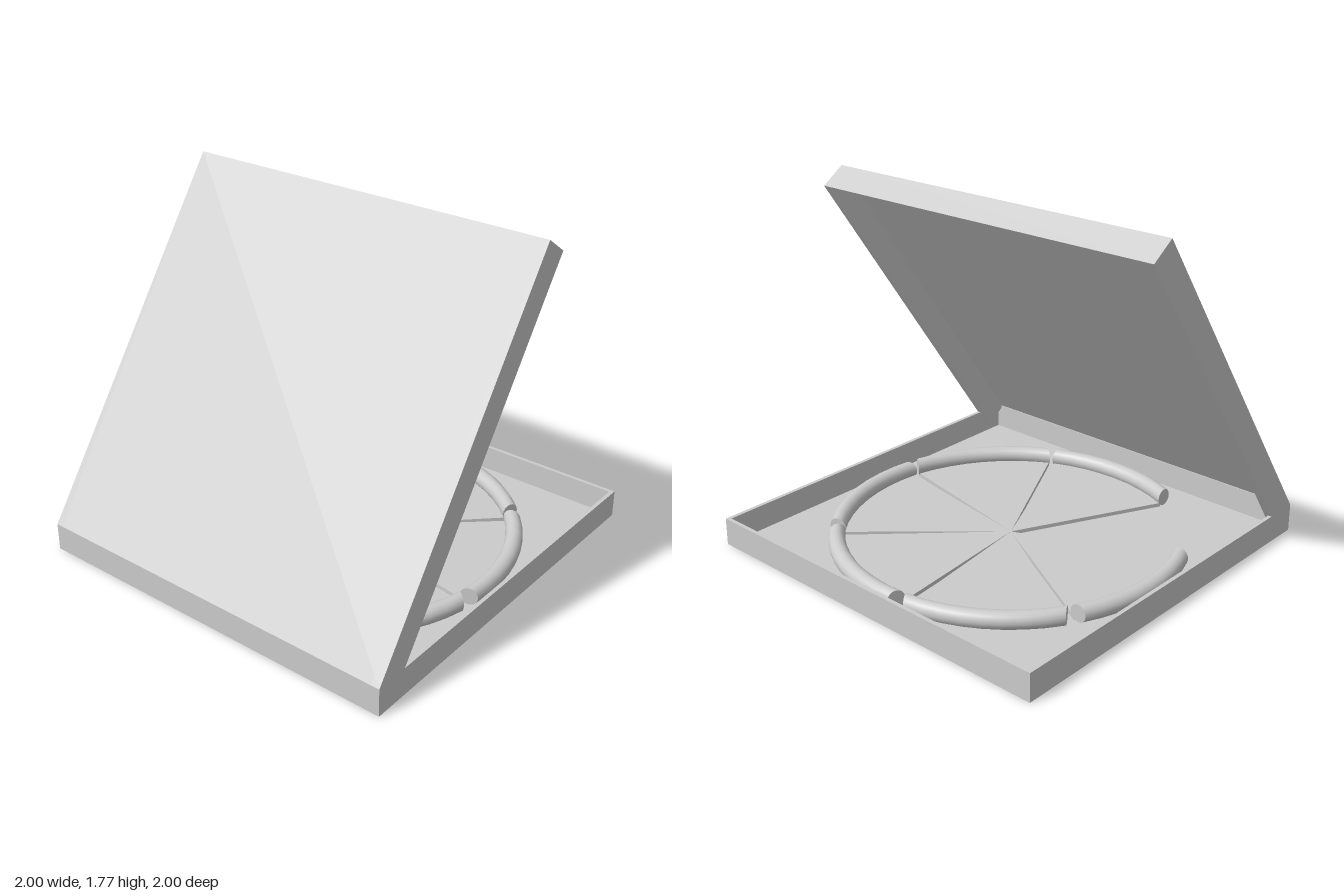
import * as THREE from 'three';
import { ParametricGeometry } from 'three/addons/geometries/ParametricGeometry.js';

const WALL = 0.02, HEIGHT = 0.142, FLOOR = 0.01;
const material = new THREE.MeshStandardMaterial({ color: 0xcccccc });
const rad = THREE.MathUtils.degToRad;

function part(parent, name, geometry) {
  const mesh = new THREE.Mesh(geometry, material);
  mesh.name = name;
  parent.add(mesh);
  return mesh;
}

function box(parent, name, size, position) {
  part(parent, name, new THREE.BoxGeometry(...size)).position.set(...position);
}

// Shallow square tray
function createBase() {
  const base = new THREE.Group();
  base.name = 'baseTray';
  box(base, 'baseFloor', [2, FLOOR, 2], [0, FLOOR / 2, 0]);
  for (const s of [-1, 1]) {
    box(base, 'baseEndWall', [WALL, HEIGHT, 2], [s * (1 - WALL / 2), HEIGHT / 2, 0]);
    box(base, 'baseSideWall', [2 - 2 * WALL, HEIGHT, WALL], [0, HEIGHT / 2, s * (1 - WALL / 2)]);
  }
  return base;
}

// Hinged lid: a panel with a U-shaped wall whose sides thicken towards the hinge
function createLid() {
  const lid = new THREE.Group();
  lid.name = 'lid';
  const length = 1.99, front = length - 0.015;
  box(lid, 'lidPanel', [length, 0.012, 2], [length / 2, -0.006, 0]);
  const rim = new THREE.Shape([
    [0, -1], [length, -1], [length, 1], [0, 1],
    [0, 0.955], [front, 0.985], [front, -0.985], [0, -0.955],
  ].map(([x, y]) => new THREE.Vector2(x, y)));
  const walls = new THREE.ExtrudeGeometry(rim, { depth: 0.145, bevelEnabled: false });
  part(lid, 'lidWalls', walls.rotateX(Math.PI / 2));
  lid.position.set(-1, HEIGHT, 0);
  lid.rotation.z = rad(55);
  return lid;
}

// One wedge pointing along +x, with a round crust whose ends are cut parallel to its midline
function createSlice() {
  const slice = new THREE.Group();
  slice.name = 'slice';
  const half = rad(25.7), crustHalf = rad(25), R = 0.87, r = 0.045, cy = FLOOR + r;

  const outline = new THREE.Shape();
  outline.moveTo(0, 0);
  for (let i = 0; i <= 8; i++) {
    const a = half * (i / 4 - 1);
    outline.lineTo(0.845 * Math.cos(a), 0.845 * Math.sin(a));
  }
  outline.closePath();
  const topping = new THREE.ExtrudeGeometry(outline, { depth: 0.022, bevelEnabled: false });
  part(slice, 'sliceTopping', topping.rotateX(-Math.PI / 2)).position.y = FLOOR - 0.002;

  const sweep = (u, v, target) => {
    const a = crustHalf * (2 * u - 1), b = -2 * Math.PI * v;
    target.set(R * Math.cos(a) + r * Math.cos(b), cy + r * Math.sin(b), R * Math.sin(a));
  };
  part(slice, 'crust', new ParametricGeometry(sweep, 8, 16));
  for (const s of [-1, 1]) {
    const cap = part(slice, 'crustEnd', new THREE.CircleGeometry(r, 16));
    cap.position.set(R * Math.cos(crustHalf), cy, s * R * Math.sin(crustHalf));
    if (s < 0) cap.rotation.y = Math.PI;
  }
  return slice;
}

export function createModel() {
  const model = new THREE.Group();
  model.name = 'openFoodBox';
  model.add(createBase(), createLid());

  // Six slices fanned out with one wedge missing
  const food = new THREE.Group();
  food.name = 'slices';
  for (let i = 0; i < 6; i++) {
    const slice = createSlice();
    slice.rotation.y = -rad(-87 + 53.5 * i);
    food.add(slice);
  }
  model.add(food);
  return model;
}
